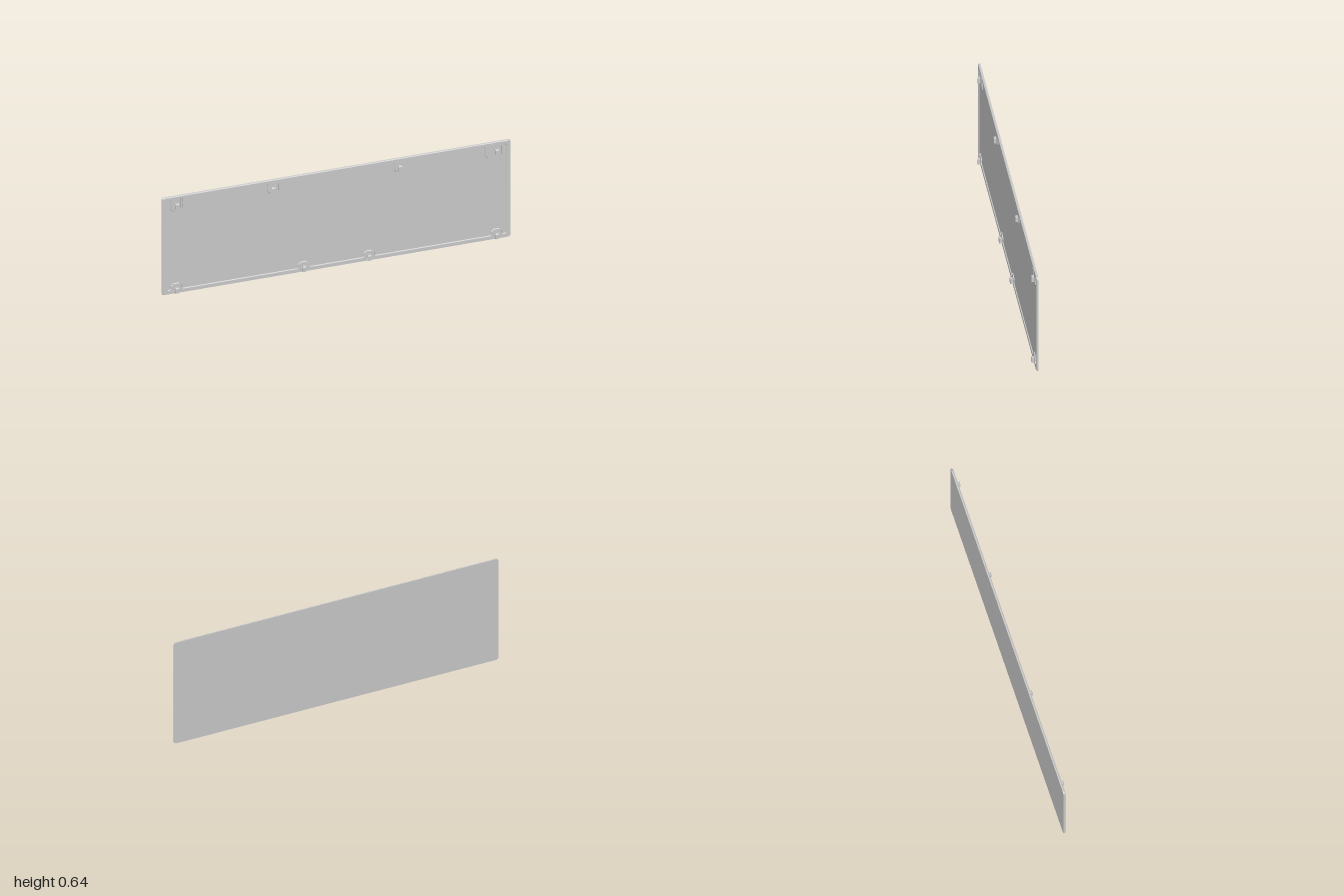
import * as THREE from 'three';

const W = 2, H = 0.64, BACK = -0.0135, FRONT = -0.001, FLOOR = -0.006;
const mat = new THREE.MeshStandardMaterial({ color: 0xcccccc, flatShading: true });

function add(parent, name, geometry, x = 0, y = 0, z = 0) {
  const m = new THREE.Mesh(geometry, mat);
  m.name = name;
  m.position.set(x, y, z);
  parent.add(m);
  return m;
}

// Panel outline with small rounded corners, shrunk by an inset
function outline(inset) {
  const x = W / 2 - inset, b = inset, t = H - inset, r = 0.017 - inset;
  const s = new THREE.Shape();
  s.moveTo(-x + r, b);
  s.lineTo(x - r, b);
  s.absarc(x - r, b + r, r, -Math.PI / 2, 0);
  s.lineTo(x, t - r);
  s.absarc(x - r, t - r, r, 0, Math.PI / 2);
  s.lineTo(-x + r, t);
  s.absarc(-x + r, t - r, r, Math.PI / 2, Math.PI);
  s.lineTo(-x, b + r);
  s.absarc(-x + r, b + r, r, Math.PI, Math.PI * 1.5);
  return s;
}

// Tab reaching into the recess from a rim edge; dir +1 rises, -1 hangs; points run with growing x
function tab(cx, edge, half, reach, dir) {
  const c = 0.014;
  return [[-half - 0.008, 0], [-half, 0.008], [-half, reach - c], [-half + c, reach],
    [half - c, reach], [half, reach - c], [half, 0.008], [half + 0.008, 0]]
    .map(([x, y]) => [cx + x, edge + dir * y]);
}

// Recess edge: right half from bottom centre to top centre, then mirrored
function recess() {
  const b = 0.025, t = 0.62;
  const half = [
    ...tab(0.187, b, 0.029, 0.04, 1),
    ...tab(0.917, b, 0.029, 0.04, 1),
    [0.965, b], [0.975, 0.035], [0.975, 0.61], [0.968, t],
    ...tab(0.9, t, 0.046, 0.076, -1).reverse(),
    ...tab(0.363, t, 0.029, 0.065, -1).reverse(),
  ];
  const all = [...half, ...half.map(([x, y]) => [-x, y]).reverse()];
  return new THREE.Path(all.map(([x, y]) => new THREE.Vector2(x, y)));
}

// Clip: narrow core under a hooked cap
function clip(x, y) {
  const g = new THREE.Group();
  g.name = 'clip';
  const p = new THREE.Shape([[0, 0], [0.0145, 0], [0.0145, 0.029], [0.0115, 0.032], [0, 0.032],
    [0, 0.026], [0.009, 0.026], [0.009, 0.003], [0, 0.003]].map(([a, b]) => new THREE.Vector2(a, b)));
  const hook = new THREE.ExtrudeGeometry(p, { depth: 0.02, bevelEnabled: false });
  hook.rotateY(-Math.PI / 2).translate(0.01, 0, 0);
  add(g, 'clipHook', hook, 0, 0, FRONT);
  add(g, 'clipCore', new THREE.BoxGeometry(0.014, 0.024, 0.011), 0, 0.0145, 0.0045);
  g.position.set(x, y, 0);
  return g;
}

export function createModel() {
  const model = new THREE.Group();
  model.name = 'coverPanel';

  // Solid back plate
  add(model, 'backPlate', new THREE.ExtrudeGeometry(outline(0),
    { depth: FLOOR - BACK, bevelEnabled: false, curveSegments: 6 }), 0, 0, BACK);

  // Raised rim with sloping inner wall
  const rimShape = outline(0.003);
  rimShape.holes.push(recess());
  add(model, 'rim', new THREE.ExtrudeGeometry(rimShape, {
    depth: 0.001, bevelThickness: 0.005, bevelSize: 0.003, bevelSegments: 1, curveSegments: 6,
  }), 0, 0, FRONT - 0.006);

  for (const side of [-1, 1]) {
    for (const x of [0.363, 0.917]) model.add(clip(side * x, 0.564));
    for (const x of [0.187, 0.917]) model.add(clip(side * x, 0.009));
    // Locating ribs beside the corner clips
    for (const x of [0.879, 0.893]) {
      add(model, 'locatingRib', new THREE.BoxGeometry(0.005, 0.066, 0.004), side * x, 0.596, FRONT + 0.001);
    }
    add(model, 'ribBridge', new THREE.BoxGeometry(0.012, 0.006, 0.004), side * 0.886, 0.596, FRONT + 0.001);
  }
  return model;
}
